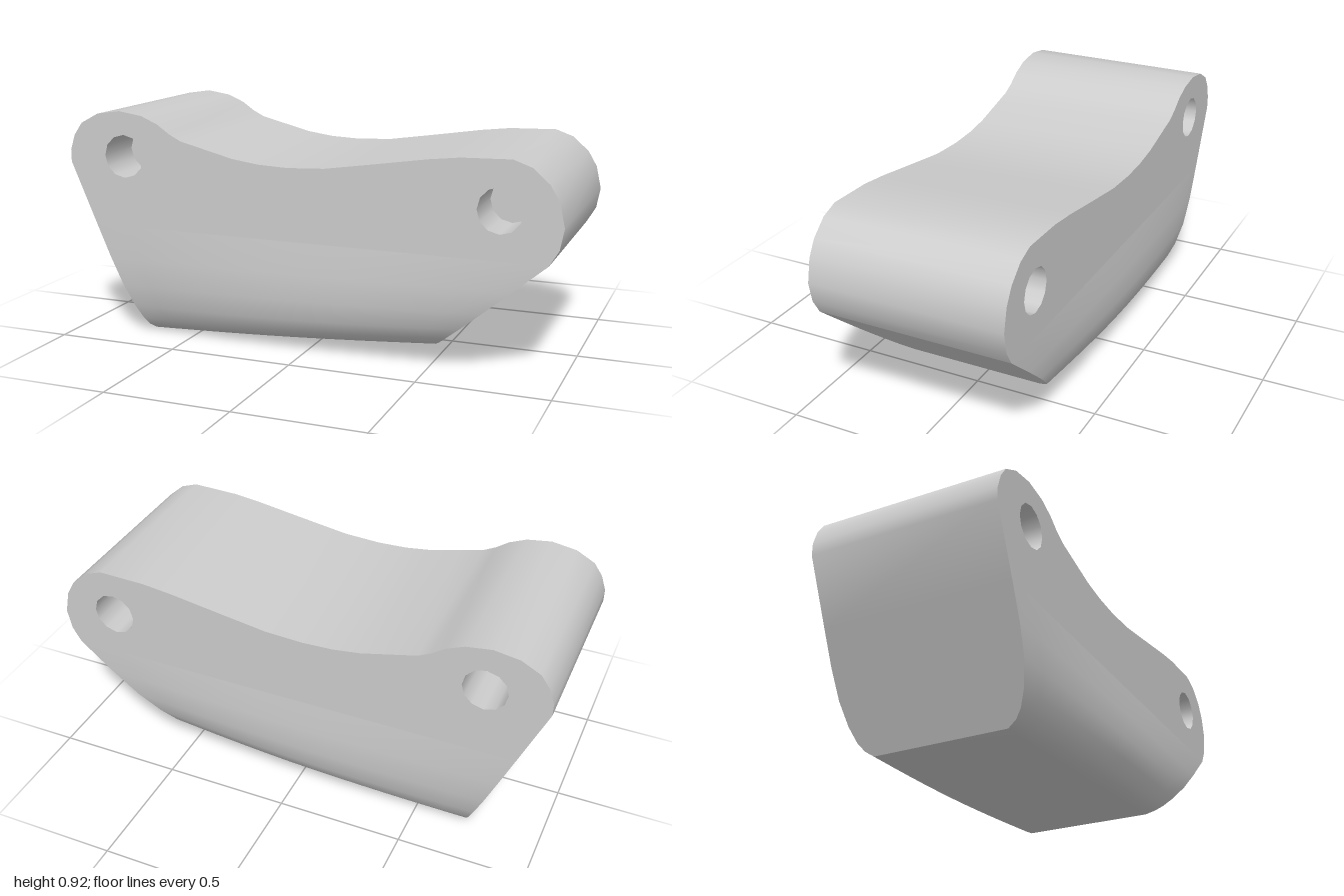
import * as THREE from 'three';
import { toCreasedNormals } from 'three/addons/utils/BufferGeometryUtils.js';

const HALF = 0.385;   // half thickness of the block
const SPLIT = 0.45;   // height where the tapered lower part meets the upper part
const HOLES = [[-0.755, 0.735], [0.77, 0.635]];
const HOLE_R = 0.086;
const HOLE_DEPTH = 0.2;

// Upper part: saddle-shaped profile with two rounded ears and pin holes
function upperGeometry() {
  const outline = [
    [0.95, SPLIT], [0.985, 0.51], [1, 0.59], [0.98, 0.68], [0.945, 0.74], [0.88, 0.797],
    [0.81, 0.822], [0.62, 0.817], [0.5, 0.803], [0.3, 0.772], [0.1, 0.742], [-0.05, 0.735],
    [-0.17, 0.74], [-0.28, 0.755], [-0.4, 0.785], [-0.5, 0.81], [-0.55, 0.835], [-0.6, 0.87],
    [-0.67, 0.9], [-0.77, 0.915], [-0.87, 0.9], [-0.945, 0.86], [-0.98, 0.81], [-1, 0.75],
    [-1, 0.7], [-0.893, SPLIT],
  ];
  const shape = new THREE.Shape(outline.map(([x, y]) => new THREE.Vector2(x, y)));
  for (const [x, y] of HOLES) {
    const ring = [];
    for (let i = 0; i < 12; i++) {
      const a = -i / 12 * Math.PI * 2;
      ring.push(new THREE.Vector2(x + HOLE_R * Math.cos(a), y + HOLE_R * Math.sin(a)));
    }
    shape.holes.push(new THREE.Path(ring));
  }
  const g = new THREE.ExtrudeGeometry(shape, { depth: HALF * 2, bevelEnabled: false });
  g.translate(0, 0, -HALF);
  return toCreasedNormals(g, 0.6);
}

// Lower part: rows of cross-sections that narrow toward the keel
function lowerGeometry() {
  const rows = [[0, 0.27], [0.05, 0.305], [0.12, 0.33], [0.25, 0.355],
    [0.45, 0.376], [0.7, 0.384], [1, HALF]];   // [level, half width]
  const N = 12;
  const { lerp } = THREE.MathUtils;
  const point = (r, i, side) => {
    const [s, w] = rows[r], u = i / N;
    const bulge = 0.02 * Math.sin(Math.PI * u) * Math.sin(Math.PI * Math.sqrt(s));
    const sag = 0.008 * Math.sin(Math.PI * u) * (1 - s);
    return [
      lerp(lerp(-0.7, -0.893, s), lerp(0.51, 0.95, s), u),
      lerp(SPLIT * s, lerp(0.075, SPLIT, s), u) - sag,
      side * (w + bulge),
    ];
  };
  const pos = [];
  const quad = (a, b, c, d) => pos.push(...a, ...b, ...c, ...a, ...c, ...d);
  for (let r = 0; r < rows.length - 1; r++) {
    for (let i = 0; i < N; i++) {
      // front and back walls
      quad(point(r, i, 1), point(r, i + 1, 1), point(r + 1, i + 1, 1), point(r + 1, i, 1));
      quad(point(r, i + 1, -1), point(r, i, -1), point(r + 1, i, -1), point(r + 1, i + 1, -1));
    }
    // sloping end walls
    quad(point(r, N, 1), point(r, N, -1), point(r + 1, N, -1), point(r + 1, N, 1));
    quad(point(r, 0, -1), point(r, 0, 1), point(r + 1, 0, 1), point(r + 1, 0, -1));
  }
  // underside
  for (let i = 0; i < N; i++) {
    quad(point(0, i, -1), point(0, i + 1, -1), point(0, i + 1, 1), point(0, i, 1));
  }
  const g = new THREE.BufferGeometry();
  g.setAttribute('position', new THREE.Float32BufferAttribute(pos, 3));
  return toCreasedNormals(g, 0.6);
}

export function createModel() {
  const model = new THREE.Group();
  model.name = 'padBlock';
  const grey = new THREE.MeshStandardMaterial({ color: 0xcccccc });
  grey.name = 'light grey';
  const add = (name, geometry) => {
    const mesh = new THREE.Mesh(geometry, grey);
    mesh.name = name;
    model.add(mesh);
    return mesh;
  };

  add('upperBody', upperGeometry());
  add('lowerBody', lowerGeometry());

  // Floors of the blind pin holes, on both faces
  for (const [x, y] of HOLES) {
    for (const side of [1, -1]) {
      const floor = add('holeFloor', new THREE.CircleGeometry(HOLE_R, 12));
      floor.position.set(x, y, side * (HALF - HOLE_DEPTH));
      if (side < 0) floor.rotation.y = Math.PI;
    }
  }
  return model;
}
